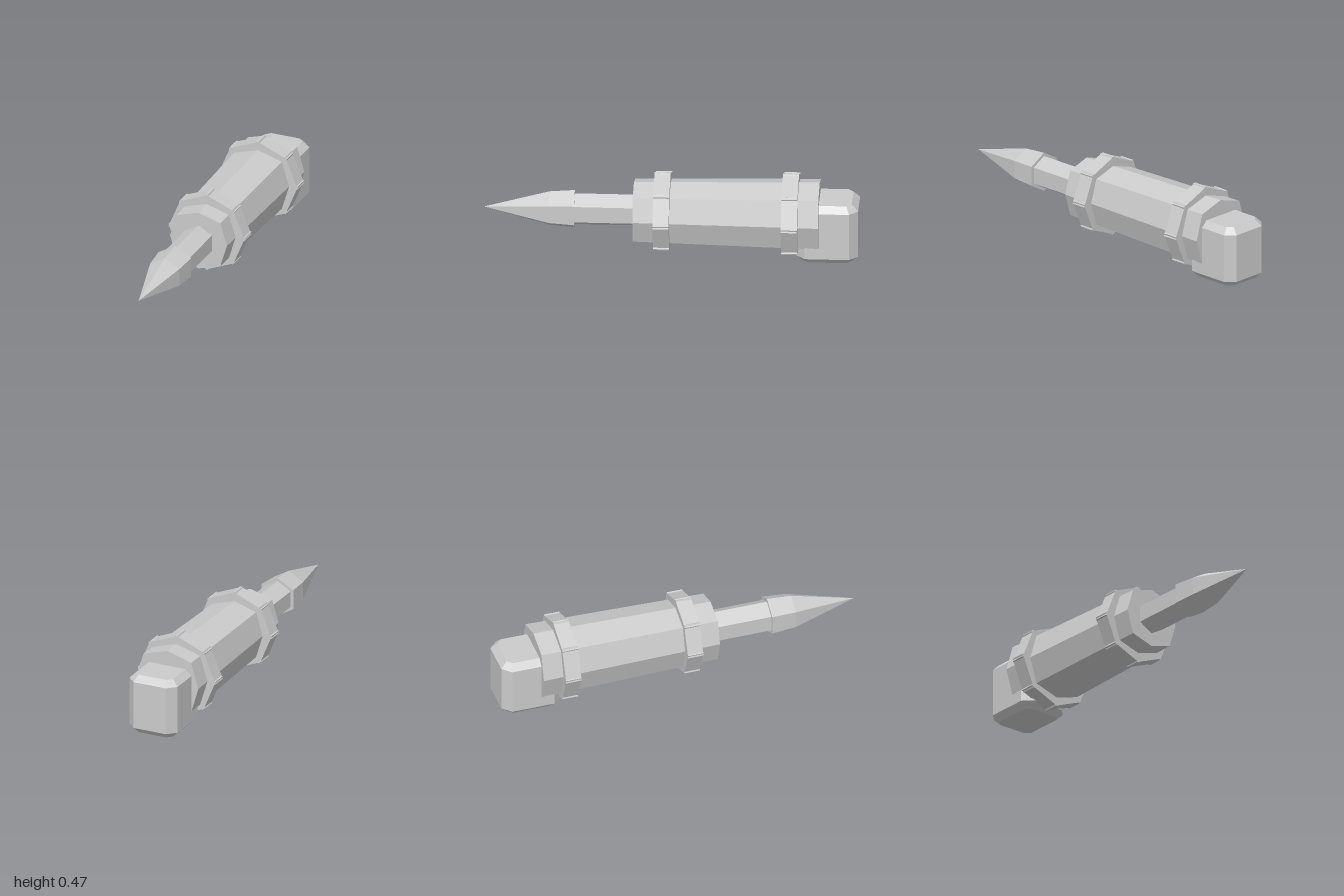
import * as THREE from 'three';

const AXIS_Y = 0.233;
const material = new THREE.MeshStandardMaterial({ color: 0xcccccc, flatShading: true });

function part(name, geometry) {
  const mesh = new THREE.Mesh(geometry, material);
  mesh.name = name;
  return mesh;
}

// Faceted solid turned about the z axis, profile given as [radius, z] from back to front
function turned(profile, sides) {
  const points = profile.map(([r, z]) => new THREE.Vector2(r, z));
  return new THREE.LatheGeometry(points, sides).rotateX(Math.PI / 2);
}

// Octagonal collar of eight straight bars whose ends cross slightly at the corners
function collar(name, radius, z) {
  const group = new THREE.Group();
  group.name = name;
  const apothem = radius * Math.cos(Math.PI / 8);
  const length = 2 * radius * Math.sin(Math.PI / 8) + 0.016;
  const inner = 0.14;
  const bar = new THREE.BoxGeometry(apothem - inner, length, 0.086);
  bar.translate((apothem + inner) / 2, 0, 0);
  for (let i = 0; i < 8; i++) {
    const mesh = part(name + 'Bar', bar);
    mesh.rotation.z = (i + 0.5) * Math.PI / 4;
    group.add(mesh);
  }
  group.position.z = z;
  return group;
}

// Upright block with every edge chamfered
function chamferedBlock(width, height, depth, c) {
  const x = width / 2 - c, z = depth / 2 - c, k = c * 0.8;
  const outline = [
    [x, -z + k], [x, z - k], [x - k, z], [-x + k, z],
    [-x, z - k], [-x, -z + k], [-x + k, -z], [x - k, -z],
  ].map(([a, b]) => new THREE.Vector2(a, b));
  const geometry = new THREE.ExtrudeGeometry(new THREE.Shape(outline), {
    depth: height - 2 * c, bevelEnabled: true,
    bevelSize: c, bevelThickness: c, bevelSegments: 1,
  });
  return geometry.translate(0, 0, c).rotateX(-Math.PI / 2);
}

export function createModel() {
  const model = new THREE.Group();
  model.name = 'spikedTool';

  const shaftLine = new THREE.Group();
  shaftLine.name = 'shaftLine';
  shaftLine.position.y = AXIS_Y;
  model.add(shaftLine);

  // Tapered housing, its diagonal corners pushed out a little
  const housing = turned([[0, -0.79], [0.185, -0.79], [0.165, 0.2], [0, 0.2]], 8);
  const p = housing.attributes.position;
  for (let i = 0; i < p.count; i++) {
    const x = p.getX(i), y = p.getY(i);
    if (Math.min(Math.abs(x), Math.abs(y)) > 0.01) p.setXY(i, x * 1.085, y * 1.085);
  }
  shaftLine.add(part('housing', housing));

  // Collars around the housing
  shaftLine.add(collar('frontCollar', 0.219, 0.047));
  shaftLine.add(collar('rearCollar', 0.229, -0.637));

  // Hexagonal rod and pointed tip
  shaftLine.add(part('rod', turned([[0, 0.15], [0.09, 0.15], [0.09, 0.55], [0, 0.55]], 6)));
  shaftLine.add(part('tip', turned([[0, 0.515], [0.109, 0.515], [0.098, 0.65], [0, 1]], 6)));

  // Block at the back, sunk into the housing
  const block = part('rearBlock', chamferedBlock(0.286, 0.333, 0.33, 0.034));
  block.position.z = -0.835;
  model.add(block);

  return model;
}
